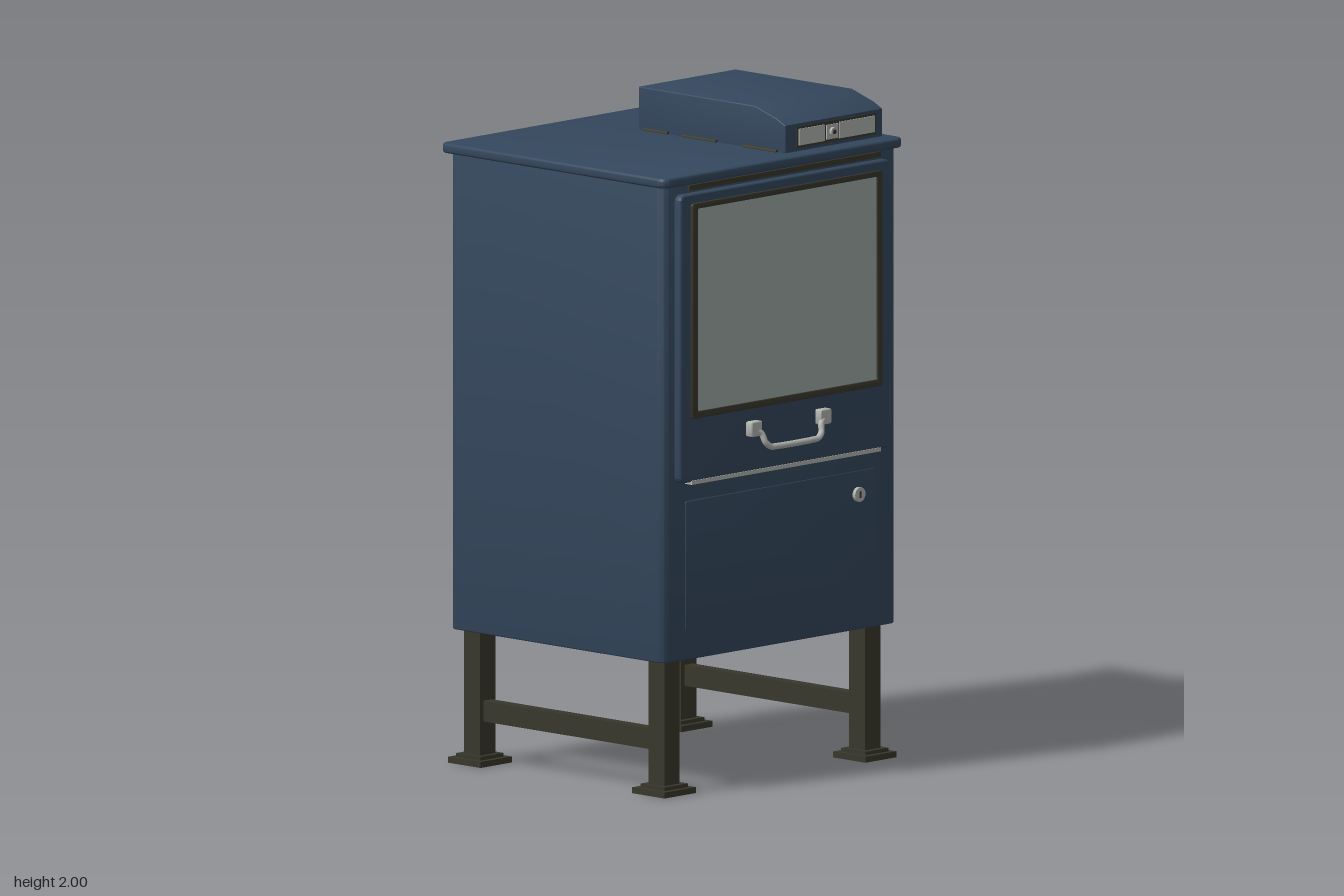
import * as THREE from 'three';
import { toCreasedNormals } from 'three/addons/utils/BufferGeometryUtils.js';

const mat = (name, color) => {
  const m = new THREE.MeshStandardMaterial({ color });
  m.name = name;
  return m;
};

// Rounded rectangle outline given by its limits
function roundRect(x0, x1, y0, y1, r, Type = THREE.Shape) {
  const s = new Type();
  s.moveTo(x0 + r, y0);
  s.lineTo(x1 - r, y0);
  s.absarc(x1 - r, y0 + r, r, -Math.PI / 2, 0);
  s.lineTo(x1, y1 - r);
  s.absarc(x1 - r, y1 - r, r, 0, Math.PI / 2);
  s.lineTo(x0 + r, y1);
  s.absarc(x0 + r, y1 - r, r, Math.PI / 2, Math.PI);
  s.lineTo(x0, y0 + r);
  s.absarc(x0 + r, y0 + r, r, Math.PI, Math.PI * 1.5);
  return s;
}

// Extrusion with an optional small bevel that stays inside the depth
function extrude(shape, depth, bevel = 0) {
  const g = new THREE.ExtrudeGeometry(shape, {
    depth: depth - 2 * bevel, curveSegments: 8, bevelEnabled: bevel > 0,
    bevelSize: bevel, bevelThickness: bevel, bevelOffset: -bevel, bevelSegments: 3,
  });
  g.translate(0, 0, bevel);
  return toCreasedNormals(g, 0.6);
}

export function createModel() {
  const root = new THREE.Group();
  root.name = 'newspaperBox';
  const paint = mat('bluePaint', 0x34475d);
  const dark = mat('darkSteel', 0x38372c);
  const glass = mat('windowGrey', 0x9da7a4);
  const metal = mat('brightMetal', 0xb0b4ae);

  const add = (name, geo, material, x = 0, y = 0, z = 0, parent = root) => {
    const m = new THREE.Mesh(geo, material);
    m.name = name;
    m.position.set(x, y, z);
    parent.add(m);
    return m;
  };
  // Box given by its limits on each axis
  const box = (name, material, x0, x1, y0, y1, z0, z1, parent = root) =>
    add(name, new THREE.BoxGeometry(x1 - x0, y1 - y0, z1 - z0), material,
      (x0 + x1) / 2, (y0 + y1) / 2, (z0 + z1) / 2, parent);
  // Horizontal rounded slab
  const slab = (name, x0, x1, z0, z1, y0, y1, r, bevel) =>
    add(name, extrude(roundRect(x0, x1, -z1, -z0, r), y1 - y0, bevel).rotateX(-Math.PI / 2), paint, 0, y0);

  // Cabinet and overhanging lid
  slab('cabinet', -0.52, 0.48, -0.47, 0.42, 0.405, 1.85, 0.03, 0.004);
  slab('lid', -0.54, 0.49, -0.492, 0.442, 1.842, 1.872, 0.03, 0.008);
  box('doorHinge', dark, -0.42, 0.4, 1.822, 1.838, 0.415, 0.428);

  // Door with framed window
  const door = new THREE.Group();
  door.name = 'door';
  root.add(door);
  add('doorPanel', extrude(roundRect(-0.475, 0.425, 0.945, 1.815, 0.02), 0.029, 0.006), paint, 0, 0, 0.416, door);
  const frame = roundRect(-0.432, 0.382, 1.137, 1.787, 0.008);
  frame.holes.push(roundRect(-0.408, 0.36, 1.158, 1.77, 0.004, THREE.Path));
  add('windowFrame', extrude(frame, 0.014, 0.002), dark, 0, 0, 0.44, door);
  box('window', glass, -0.41, 0.362, 1.156, 1.772, 0.442, 0.449, door);
  box('doorSill', metal, -0.43, 0.38, 0.938, 0.95, 0.418, 0.448, door);

  // Pull handle: two mounts and a bent bar
  const handle = new THREE.Group();
  handle.name = 'handle';
  door.add(handle);
  const cx = -0.024;
  for (const s of [-1, 1]) {
    add('handleMount', extrude(roundRect(-0.023, 0.023, -0.023, 0.023, 0.006), 0.027, 0.004),
      metal, cx + s * 0.148, 1.077, 0.443, handle);
  }
  const half = [[0.14, 1.07, 0.462], [0.127, 1.06, 0.468], [0.12, 1.035, 0.476], [0.102, 1.02, 0.48], [0.08, 1.018, 0.48]];
  const pts = [
    ...half.map(([x, y, z]) => new THREE.Vector3(cx - x, y, z)),
    ...half.slice().reverse().map(([x, y, z]) => new THREE.Vector3(cx + x, y, z)),
  ];
  add('handleBar', new THREE.TubeGeometry(new THREE.CatmullRomCurve3(pts), 48, 0.0095, 10), metal, 0, 0, 0, handle);

  // Lower access panel with lock
  add('accessPanel', extrude(roundRect(-0.43, 0.38, 0.49, 0.885, 0.006), 0.006, 0.002), paint, 0, 0, 0.417);
  add('panelLock', new THREE.CylinderGeometry(0.022, 0.022, 0.012, 20).rotateX(Math.PI / 2), metal, 0.306, 0.815, 0.428);
  box('panelKeyhole', dark, 0.303, 0.309, 0.805, 0.825, 0.43, 0.4355);

  // Coin box with sloping front
  const profile = new THREE.Shape([[-0.225, 1.868], [0.38, 1.868], [0.38, 1.955], [0.345, 1.972], [0.255, 2.0], [-0.225, 2.0]]
    .map(([z, y]) => new THREE.Vector2(z, y)));
  const coinGeo = extrude(profile, 0.417, 0.003).rotateY(-Math.PI / 2);
  add('coinBox', coinGeo, paint, 0.457);

  // Coin plate: dark surround, two bright fields and a central lock
  box('coinSurround', dark, 0.088, 0.428, 1.882, 1.946, 0.376, 0.382);
  box('coinPlateRight', metal, 0.096, 0.206, 1.889, 1.939, 0.378, 0.385);
  box('coinPlateLeft', metal, 0.268, 0.42, 1.889, 1.939, 0.378, 0.385);
  box('coinLockPlate', metal, 0.212, 0.262, 1.892, 1.936, 0.378, 0.386);
  add('coinLock', new THREE.CylinderGeometry(0.014, 0.014, 0.014, 20).rotateX(Math.PI / 2), metal, 0.237, 1.914, 0.387);
  add('coinKeyhole', new THREE.CylinderGeometry(0.007, 0.007, 0.003, 12).rotateX(Math.PI / 2), dark, 0.237, 1.914, 0.394);

  // Weld beads along the foot of the coin box
  for (const [x, z, length, turned] of [
    [0.458, -0.085, 0.11, false], [0.458, 0.085, 0.17, false], [0.458, 0.31, 0.08, false],
    [0.038, -0.15, 0.1, false], [0.038, 0.03, 0.14, false], [0.038, 0.28, 0.14, false],
    [0.3, -0.226, 0.21, true],
  ]) {
    const g = new THREE.CylinderGeometry(0.008, 0.008, length, 8);
    add('weldBead', turned ? g.rotateZ(Math.PI / 2) : g.rotateX(Math.PI / 2), dark, x, 1.872, z);
  }

  // Side hasp with chain ring
  box('haspPlate', metal, 0.478, 0.487, 0.557, 0.655, -0.22, -0.147);
  add('haspRing', new THREE.TorusGeometry(0.023, 0.0075, 10, 28).rotateX(Math.PI / 2), metal, 0.506, 0.606, -0.19);

  // Legs with foot plates, joined along each side by a brace
  for (const x of [-0.455, 0.405]) {
    for (const z of [0.357, -0.404]) {
      const leg = new THREE.Group();
      leg.name = 'leg';
      leg.position.set(x, 0, z);
      root.add(leg);
      box('legPost', dark, -0.033, 0.033, 0.015, 0.407, -0.033, 0.033, leg);
      box('footPlate', dark, -0.067, 0.067, 0, 0.018, -0.067, 0.067, leg);
      box('footCollar', dark, -0.05, 0.05, 0.018, 0.029, -0.05, 0.05, leg);
    }
    box('legBrace', dark, x - 0.018, x + 0.018, 0.13, 0.193, -0.375, 0.328);
  }
  return root;
}
